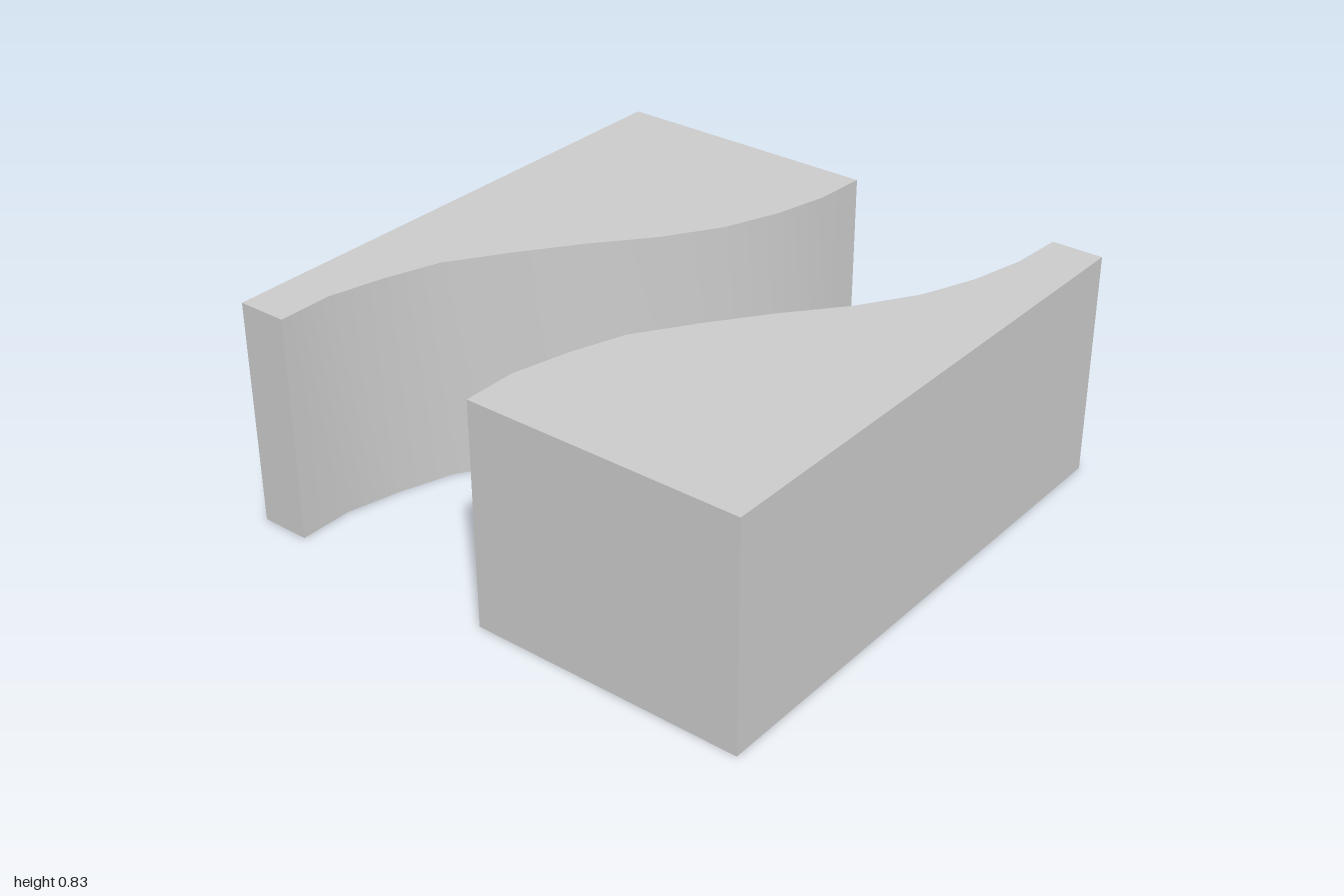
import * as THREE from 'three';
import { toCreasedNormals } from 'three/addons/utils/BufferGeometryUtils.js';

const HEIGHT = 0.83;
const GAP = 0.8; // width of the winding channel along x

// x of the channel's left bank, at equal steps from z = -1 to z = 1
const BANK = [0.013, 0, -0.047, -0.125, -0.253, -0.42, -0.567, -0.7, -0.767, -0.815, -0.815];

// Block between a straight outer wall and the curved bank
function makeBlock(name, outerX, shift, material) {
  const points = BANK.map((x, i) => new THREE.Vector2(x + shift, 1 - i * 0.2));
  points.push(new THREE.Vector2(outerX, -1), new THREE.Vector2(outerX, 1));
  const geometry = new THREE.ExtrudeGeometry(new THREE.Shape(points), {
    depth: HEIGHT,
    bevelEnabled: false,
  });
  geometry.rotateX(-Math.PI / 2);
  const mesh = new THREE.Mesh(toCreasedNormals(geometry, 0.6), material);
  mesh.name = name;
  return mesh;
}

export function createModel() {
  const group = new THREE.Group();
  group.name = 'curvedChannelBlocks';
  const grey = new THREE.MeshStandardMaterial({ color: 0xcccccc });
  grey.name = 'light grey';

  group.add(makeBlock('rightBlock', -1, 0, grey));
  group.add(makeBlock('leftBlock', 1, GAP, grey));
  return group;
}
